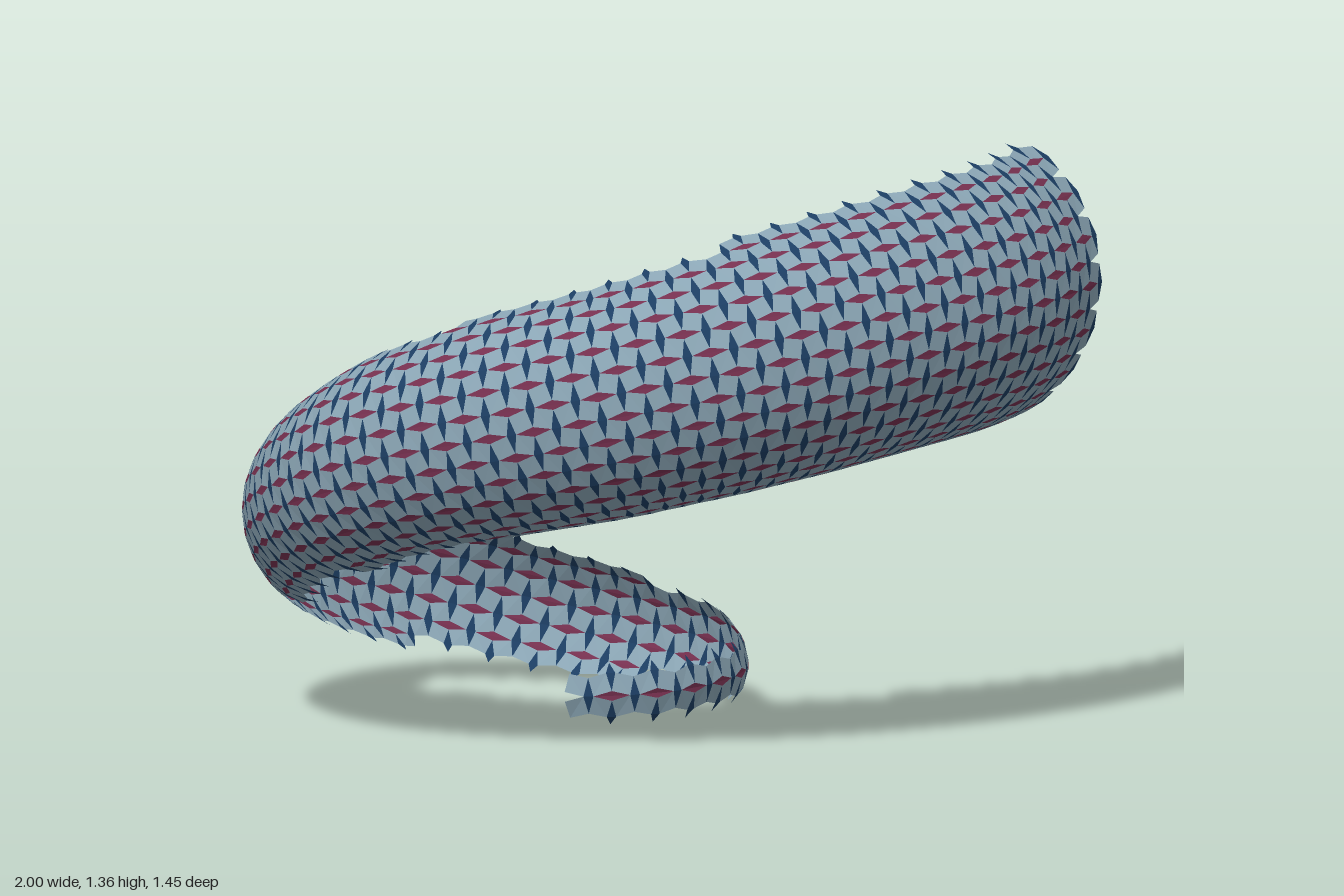
import * as THREE from 'three';

// Outer midline of the spiral band: x, y, z, radius of the curved cross-section, half arc width, roll
const KEYS = [
  [-0.24, 0.108, 0.195, 0.095, 0.07, 0],
  [-0.13, 0.11, 0.19, 0.095, 0.07, 0],
  [0.0, 0.113, 0.145, 0.1, 0.075, 0],
  [0.1, 0.114, 0.035, 0.105, 0.08, 0],
  [0.172, 0.116, -0.15, 0.115, 0.09, 0],
  [0.133, 0.12, -0.42, 0.13, 0.116, 0],
  [0.0, 0.132, -0.583, 0.145, 0.145, 0],
  [-0.15, 0.15, -0.675, 0.155, 0.17, 0],
  [-0.37, 0.187, -0.724, 0.17, 0.19, 0],
  [-0.6, 0.248, -0.684, 0.18, 0.21, 0],
  [-0.8, 0.318, -0.542, 0.19, 0.23, 0],
  [-0.94, 0.403, -0.33, 0.2, 0.25, 0],
  [-0.998, 0.492, -0.08, 0.21, 0.275, 0],
  [-0.95, 0.59, 0.2, 0.225, 0.305, 0],
  [-0.8, 0.685, 0.45, 0.24, 0.34, 0],
  [-0.55, 0.763, 0.622, 0.255, 0.37, 0],
  [-0.12, 0.855, 0.722, 0.28, 0.41, 0.01],
  [0.2, 0.911, 0.682, 0.3, 0.43, 0.03],
  [0.5, 0.952, 0.542, 0.315, 0.445, 0.06],
  [0.75, 0.977, 0.325, 0.33, 0.455, 0.1],
  [0.908, 0.986, 0.11, 0.34, 0.465, 0.12],
  [0.99, 0.99, -0.075, 0.35, 0.47, 0.13],
];
const PITCH = 0.055; // spacing of the tile lattice
const OPEN = 0.79;   // long half-diagonal of a diamond, in lattice units
const SPIKE = 0.5;   // how far a rim diamond sticks out, in lattice units

const path = new THREE.CatmullRomCurve3(KEYS.map(k => new THREE.Vector3(k[0], k[1], k[2])));
path.arcLengthDivisions = 1000;
const COLS = Math.round(path.getLength() / PITCH);
const UP = new THREE.Vector3(0, 1, 0);

// interpolated key value at lattice position a along the band
function keyAt(a, column) {
  const u = THREE.MathUtils.clamp(a / COLS, 0, 1);
  const f = path.getUtoTmapping(u) * (KEYS.length - 1);
  const i = Math.min(Math.floor(f), KEYS.length - 2);
  return THREE.MathUtils.lerp(KEYS[i][column], KEYS[i + 1][column], f - i);
}

// lattice position (a along, b across) to a point on the curved band
function surfacePoint(a, b) {
  const u = THREE.MathUtils.clamp(a / COLS, 0, 1);
  const tangent = path.getTangentAt(u);
  const roll = keyAt(a, 5);
  const outward = tangent.clone().cross(UP).normalize().applyAxisAngle(tangent, roll);
  // the wide end also leans forward at its upper edge
  const across = outward.clone().cross(tangent).addScaledVector(tangent, roll);
  const radius = keyAt(a, 3);
  const angle = b * PITCH / radius;
  return path.getPointAt(u)
    .addScaledVector(tangent, (a - u * COLS) * PITCH)
    .addScaledVector(outward, -radius * (1 - Math.cos(angle)))
    .addScaledVector(across, radius * Math.sin(angle));
}

const isLong = (i, j) => (i + j) % 2 === 0; // diamond lying along the band
// hinges shared by tiles and diamonds on the lattice edges
const hingeAlong = (i, j) => [i + (isLong(i, j) ? OPEN : 1 - OPEN), j];
const hingeAcross = (i, j) => [i, j + (isLong(i, j) ? 1 - OPEN : OPEN)];

function addQuad(list, corners) {
  const p = corners.map(c => surfacePoint(c[0], c[1]));
  for (const k of [0, 1, 2, 0, 2, 3]) list.push(p[k].x, p[k].y, p[k].z);
}

function makeMesh(name, positions, color) {
  const geometry = new THREE.BufferGeometry();
  geometry.setAttribute('position', new THREE.Float32BufferAttribute(positions, 3));
  geometry.computeVertexNormals();
  const material = new THREE.MeshStandardMaterial({ color, flatShading: true, side: THREE.DoubleSide });
  const mesh = new THREE.Mesh(geometry, material);
  mesh.name = name;
  return mesh;
}

export function createModel() {
  const tiles = [], longDiamonds = [], crossDiamonds = [];

  // tile rows on each side of the midline, widening in steps
  const rows = [];
  for (let i = 0; i < COLS; i++) {
    rows.push(Math.max(1, Math.round((keyAt(i + 0.5, 4) - 0.02) / PITCH)));
  }
  const hasTile = (i, j) => i >= 0 && i < COLS && j >= -rows[i] && j < rows[i];

  // rotated square tiles
  for (let i = 0; i < COLS; i++) {
    for (let j = -rows[i]; j < rows[i]; j++) {
      addQuad(tiles, [hingeAlong(i, j), hingeAcross(i + 1, j), hingeAlong(i, j + 1), hingeAcross(i, j)]);
    }
  }

  // diamonds filling the gaps; the crosswise ones also form short spikes on the rim
  const maxRow = Math.max(...rows);
  for (let i = 0; i <= COLS; i++) {
    for (let j = -maxRow; j <= maxRow; j++) {
      const above = hasTile(i, j) || hasTile(i - 1, j);
      const below = hasTile(i, j - 1) || hasTile(i - 1, j - 1);
      const count = [[0, 0], [-1, 0], [0, -1], [-1, -1]].filter(d => hasTile(i + d[0], j + d[1])).length;
      const long = isLong(i, j);
      if (count < (long ? 3 : 2)) continue;
      addQuad(long ? longDiamonds : crossDiamonds, [
        hingeAlong(i - 1, j),
        below ? hingeAcross(i, j - 1) : [i, j - SPIKE],
        hingeAlong(i, j),
        above ? hingeAcross(i, j) : [i, j + SPIKE],
      ]);
    }
  }

  const model = new THREE.Group();
  model.name = 'spiralBand';
  model.add(
    makeMesh('squareTiles', tiles, 0x8aa5b4),
    makeMesh('lengthwiseDiamonds', longDiamonds, 0x76304f),
    makeMesh('crosswiseDiamonds', crossDiamonds, 0x1c3e63),
  );
  return model;
}
